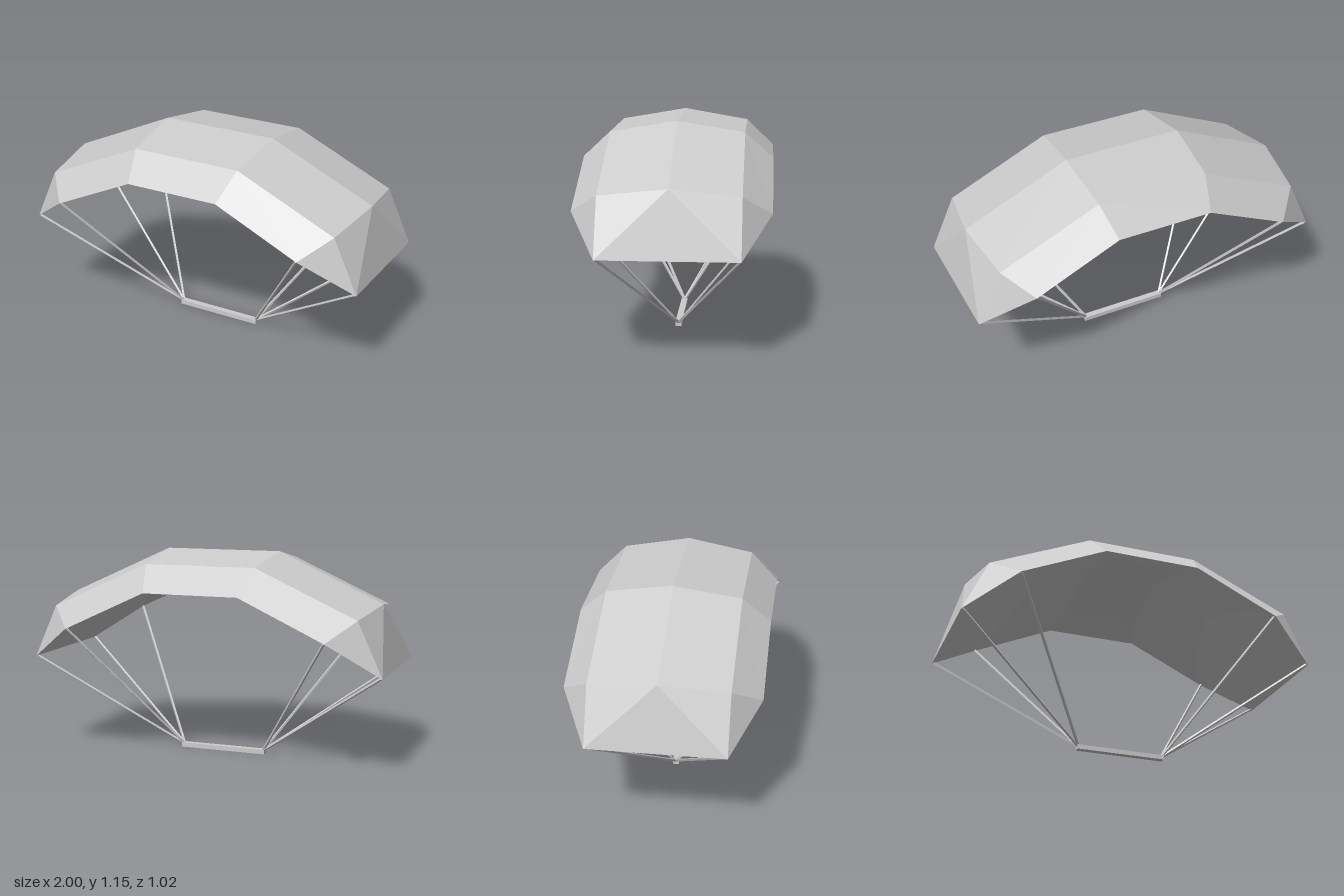
import * as THREE from 'three';

const grey = new THREE.MeshStandardMaterial({ color: 0xcccccc, flatShading: true });

// Half profiles [x, y] of crown, shoulder and tip, at the mid chord, the ridge and the outer edge
const EDGE = [[0.265, 0.95], [0.73, 0.735], [0.73, 0.735]];
const OUTER = [
  [[0.33, 1.15], [0.915, 0.885], [1, 0.545]],
  [[0.31, 1.09], [0.865, 0.84], [1, 0.545]],
  EDGE,
];
const INNER = [
  [[0.21, 1.09], [0.54, 0.92], [1, 0.545]],
  [[0.22, 1.01], [0.625, 0.83], [1, 0.545]],
  EDGE,
];
const STATIONS = [[-0.51, 2], [-0.36, 1], [0, 0], [0.36, 1], [0.51, 2]];

// Full cross-sections, running from -x to +x, one per z station
function sections(profiles) {
  return STATIONS.map(([z, k]) => {
    const half = profiles[k].map(([x, y]) => new THREE.Vector3(x, y, z));
    const mirrored = half.map((p) => new THREE.Vector3(-p.x, p.y, z)).reverse();
    return [...mirrored, ...half];
  });
}

// Skin the cross-sections with flat triangles, leaving out collapsed ones
function skin(rows, down, out) {
  const tri = (a, b, c) => {
    const t = new THREE.Triangle(a, b, c);
    if (t.getArea() < 1e-6) return;
    for (const p of down ? [a, c, b] : [a, b, c]) out.push(p.x, p.y, p.z);
  };
  for (let i = 0; i < rows.length - 1; i++) {
    for (let j = 0; j < rows[i].length - 1; j++) {
      const a = rows[i][j], b = rows[i][j + 1];
      const c = rows[i + 1][j + 1], d = rows[i + 1][j];
      // Mirror the diagonals about both middle planes
      if ((i < 2) === (j < 3)) { tri(a, d, c); tri(a, c, b); }
      else { tri(a, d, b); tri(d, c, b); }
    }
  }
}

function createCanopy() {
  const pos = [];
  skin(sections(OUTER), false, pos);
  skin(sections(INNER), true, pos);
  const geo = new THREE.BufferGeometry();
  geo.setAttribute('position', new THREE.Float32BufferAttribute(pos, 3));
  geo.computeVertexNormals();
  const mesh = new THREE.Mesh(geo, grey);
  mesh.name = 'canopy';
  return mesh;
}

// Thin four-sided line between two points
function createLine(from, to) {
  const dir = to.clone().sub(from);
  const mesh = new THREE.Mesh(new THREE.CylinderGeometry(0.008, 0.008, dir.length(), 4), grey);
  mesh.position.copy(from).add(to).multiplyScalar(0.5);
  mesh.quaternion.setFromUnitVectors(new THREE.Vector3(0, 1, 0), dir.normalize());
  mesh.name = 'suspensionLine';
  return mesh;
}

export function createModel() {
  const model = new THREE.Group();
  model.name = 'parachute';
  model.add(createCanopy());

  // Handle bar
  const bar = new THREE.Mesh(new THREE.BoxGeometry(0.5, 0.025, 0.035), grey);
  bar.position.y = 0.0125;
  bar.name = 'handleBar';
  model.add(bar);

  // Four lines on each side, from the bar ends to the canopy corners
  const lines = new THREE.Group();
  lines.name = 'suspensionLines';
  for (const sx of [-1, 1]) {
    for (const sz of [-1, 1]) {
      const start = new THREE.Vector3(sx * 0.24, 0.018, 0);
      lines.add(createLine(start, new THREE.Vector3(sx * 0.99, 0.548, sz * 0.355)));
      lines.add(createLine(start, new THREE.Vector3(sx * 0.725, 0.735, sz * 0.5)));
    }
  }
  model.add(lines);
  return model;
}
